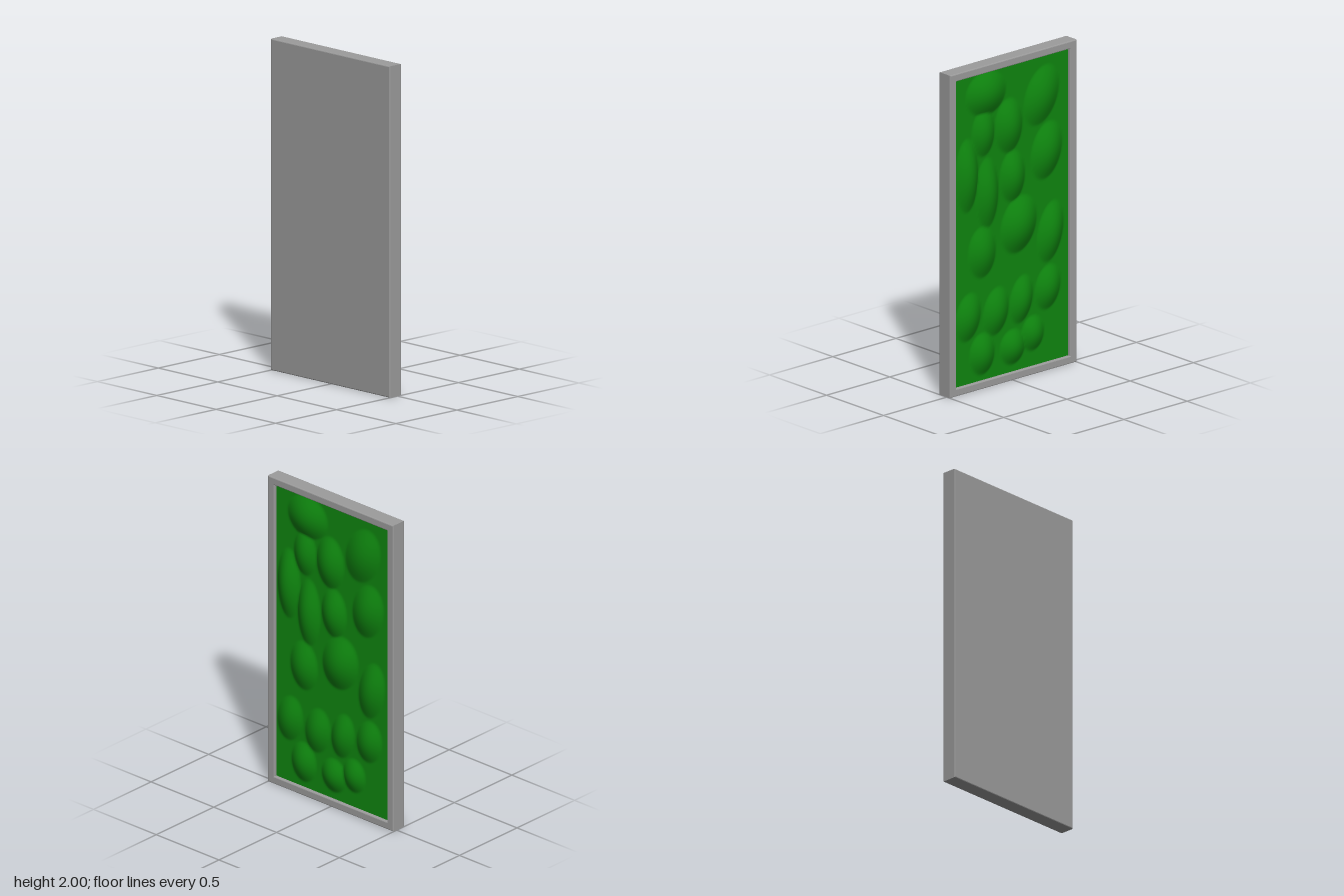
import * as THREE from 'three';

const W = 1, H = 2;                  // outer size along z and y
const BACK = -0.065, FRONT = 0.031;  // thickness along x
const OPEN_W = 0.9, OPEN_H = 1.905;  // opening of the rim
const BASE = 0.01;                   // turf level inside the rim
const BEVEL = 0.006;

// moss mounds: z, y, radius z, radius y, height, lean
const MOUNDS = [
  [0.20, 1.82, 0.16, 0.14, 0.046, 0], [-0.24, 1.71, 0.13, 0.19, 0.040, 0.4],
  [0.02, 1.58, 0.11, 0.17, 0.044, 0], [0.22, 1.58, 0.09, 0.15, 0.036, 0],
  [0.35, 1.34, 0.09, 0.23, 0.045, 0], [0.19, 1.20, 0.09, 0.22, 0.042, 0],
  [-0.01, 1.26, 0.10, 0.16, 0.042, 0], [-0.28, 1.36, 0.12, 0.18, 0.044, 0.25],
  [-0.06, 0.95, 0.14, 0.18, 0.052, 0.3], [0.23, 0.84, 0.11, 0.16, 0.040, 0],
  [-0.31, 0.85, 0.10, 0.19, 0.042, 0.2], [0.34, 0.46, 0.10, 0.15, 0.036, 0.2],
  [0.12, 0.45, 0.10, 0.15, 0.037, 0.2], [-0.08, 0.48, 0.09, 0.15, 0.038, 0.2],
  [-0.29, 0.51, 0.10, 0.14, 0.037, 0.2], [0.23, 0.21, 0.10, 0.13, 0.038, 0],
  [-0.01, 0.20, 0.10, 0.11, 0.036, 0], [-0.17, 0.25, 0.09, 0.11, 0.034, 0],
];

// height of the tallest mound over a point
function moundHeight(z, y) {
  let top = 0;
  for (const [cz, cy, rz, ry, h, lean] of MOUNDS) {
    const dz = z - cz, dy = y - cy;
    const a = (dz * Math.cos(lean) + dy * Math.sin(lean)) / rz;
    const b = (dy * Math.cos(lean) - dz * Math.sin(lean)) / ry;
    const r2 = a * a + b * b;
    if (r2 < 1) top = Math.max(top, h * Math.pow(1 - r2, 1.2));
  }
  return top;
}

function rectangle(target, w, h) {
  target.moveTo(-w / 2, -h / 2);
  target.lineTo(w / 2, -h / 2);
  target.lineTo(w / 2, h / 2);
  target.lineTo(-w / 2, h / 2);
  target.closePath();
  return target;
}

export function createModel() {
  const group = new THREE.Group();
  group.name = 'mossWallPanel';
  const frameGrey = new THREE.MeshStandardMaterial({ color: 0x9c9c9c });
  frameGrey.name = 'frameGrey';
  const mossGreen = new THREE.MeshStandardMaterial({ color: 0x0f860f });
  mossGreen.name = 'mossGreen';

  const add = (name, geometry, material) => {
    const mesh = new THREE.Mesh(geometry, material);
    mesh.name = name;
    group.add(mesh);
  };

  // rim with a softened edge around the opening
  const outline = rectangle(new THREE.Shape(), W, H);
  outline.holes.push(rectangle(new THREE.Path(), OPEN_W, OPEN_H));
  const rim = new THREE.ExtrudeGeometry(outline, {
    depth: FRONT - BACK - 2 * BEVEL, bevelThickness: BEVEL,
    bevelSize: BEVEL, bevelOffset: -BEVEL, bevelSegments: 2,
  });
  rim.rotateY(Math.PI / 2).translate(BACK + BEVEL, H / 2, 0);
  add('frameRim', rim, frameGrey);

  // backing board closing the rear of the rim
  const board = new THREE.BoxGeometry(BASE - 0.005 - BACK, OPEN_H + 2 * BEVEL, OPEN_W + 2 * BEVEL);
  board.translate((BASE - 0.005 + BACK) / 2, H / 2, 0);
  add('backBoard', board, frameGrey);

  // moss sheet swelling into mounds
  const moss = new THREE.PlaneGeometry(OPEN_W, OPEN_H, 90, 190);
  moss.rotateY(Math.PI / 2).translate(BASE, H / 2, 0);
  const p = moss.attributes.position;
  for (let i = 0; i < p.count; i++) p.setX(i, BASE + moundHeight(p.getZ(i), p.getY(i)));
  moss.computeVertexNormals();
  add('mossSheet', moss, mossGreen);

  return group;
}
